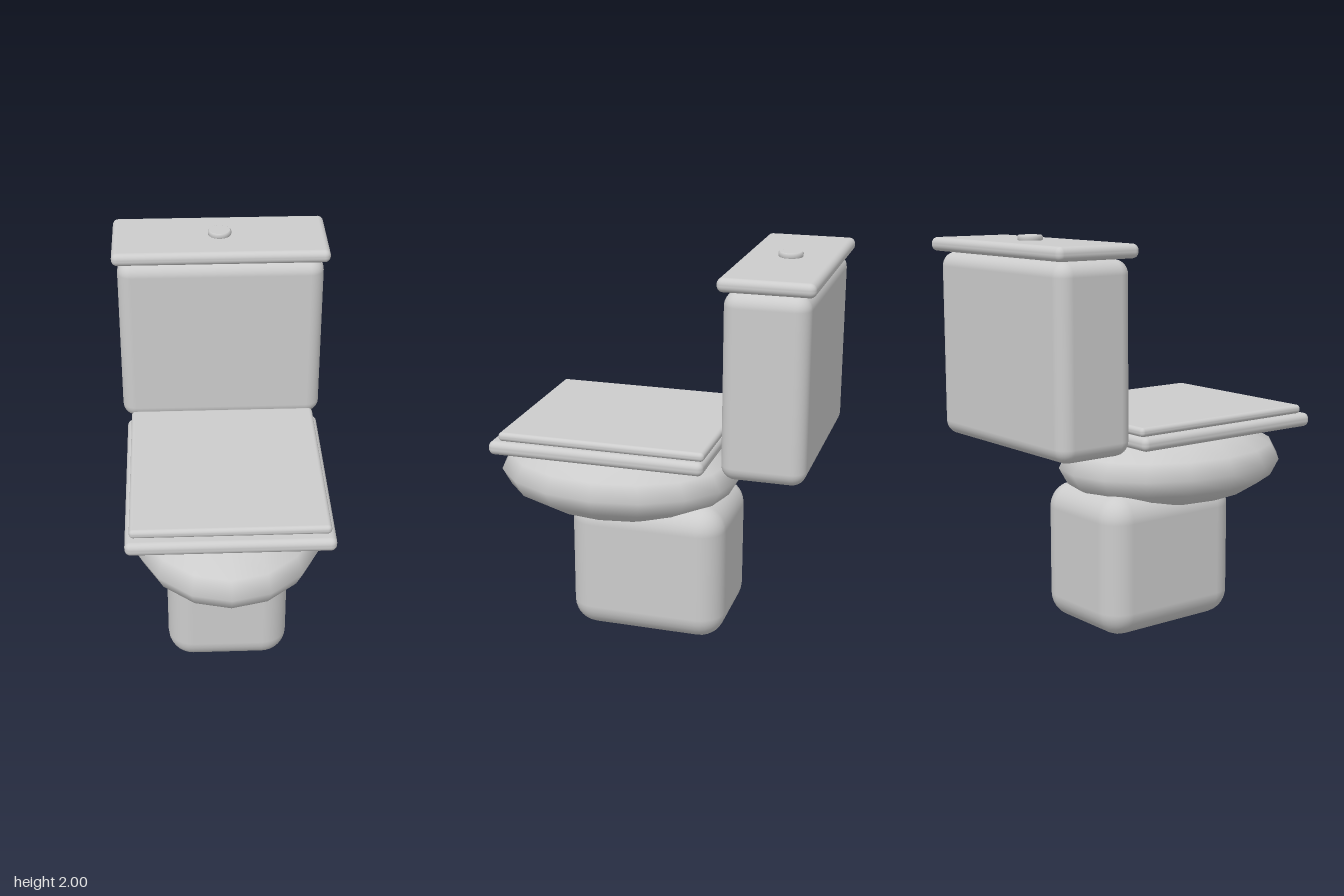
import * as THREE from 'three';
import { RoundedBoxGeometry } from 'three/addons/geometries/RoundedBoxGeometry.js';

export function createModel() {
  const group = new THREE.Group();
  const ceramic = new THREE.MeshStandardMaterial({ color: 0xcccccc });
  ceramic.name = 'light grey ceramic';

  const add = (name, geometry, x, y, z) => {
    const mesh = new THREE.Mesh(geometry, ceramic);
    mesh.name = name;
    mesh.position.set(x, y, z);
    group.add(mesh);
    return mesh;
  };

  // Rounded slab centred on x, given by half width, y range, z range and edge radius
  const slab = (name, halfW, y0, y1, z0, z1, r) =>
    add(name, new RoundedBoxGeometry(halfW * 2, y1 - y0, z1 - z0, 4, r),
      0, (y0 + y1) / 2, (z0 + z1) / 2);

  slab('pedestal', 0.31, 0, 0.72, -0.39, 0.42, 0.13);

  // Bowl: a coarse sphere stretched into an ellipsoid, with a point at the front
  const bowl = new THREE.SphereGeometry(1, 16, 8);
  bowl.scale(0.495, 0.22, 0.635);
  add('bowl', bowl, 0, 0.8, 0.23);

  slab('seat', 0.5, 0.99, 1.06, -0.345, 0.758, 0.03);
  slab('seatLid', 0.478, 1.06, 1.105, -0.345, 0.71, 0.02);
  slab('tank', 0.527, 0.993, 1.905, -0.838, -0.43, 0.07);
  slab('tankLid', 0.552, 1.908, 1.975, -0.865, -0.41, 0.03);

  // Flush button with softened rims
  const rim = [[0, 0], [0.054, 0], [0.06, 0.006], [0.06, 0.022], [0.054, 0.028], [0.053, 0.028], [0, 0.028]]
    .map(([x, y]) => new THREE.Vector2(x, y));
  add('flushButton', new THREE.LatheGeometry(rim, 32), 0, 1.972, -0.64);

  return group;
}
